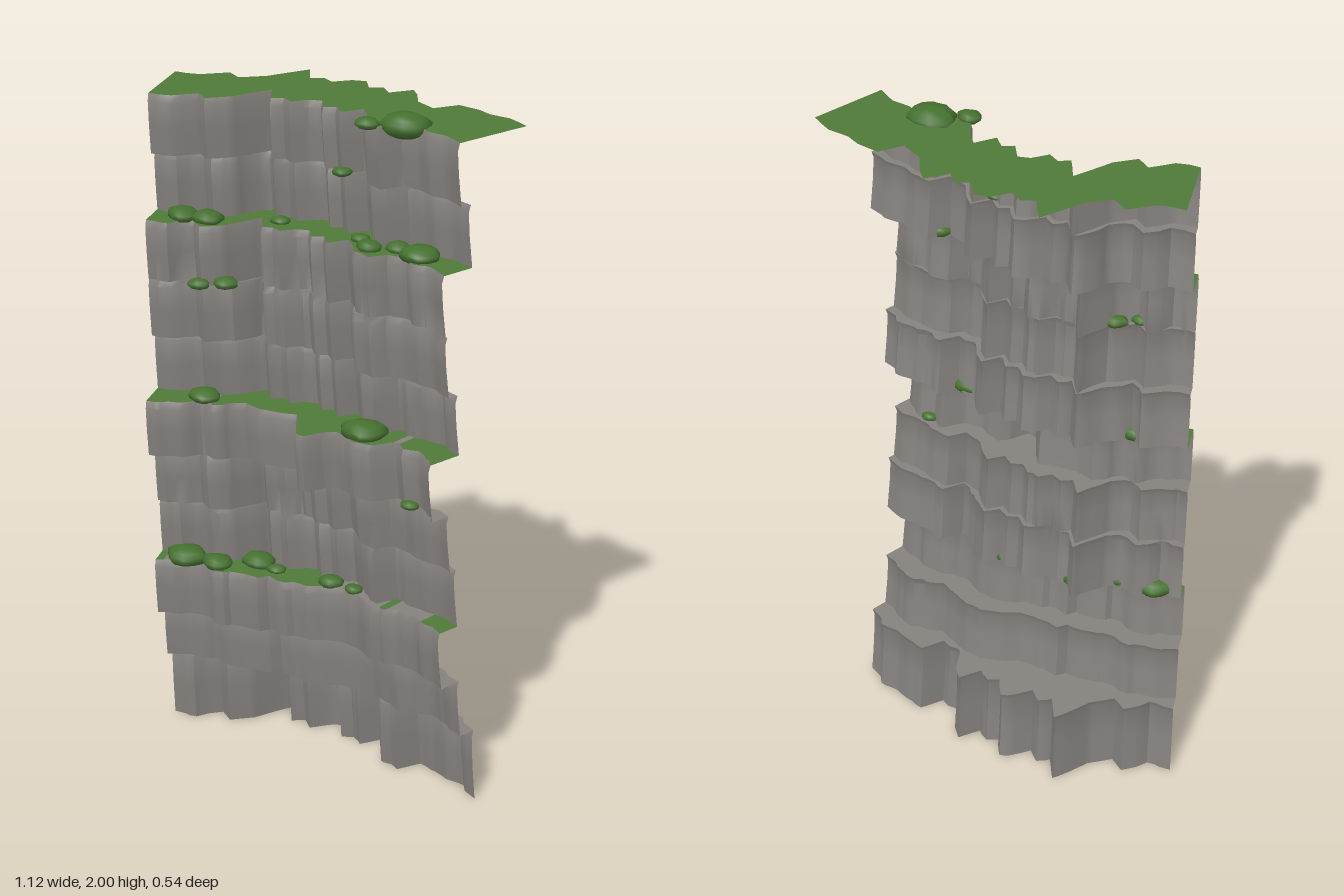
import * as THREE from 'three';
import { toCreasedNormals } from 'three/addons/utils/BufferGeometryUtils.js';

// The cliff is a concave arc: every column runs along a ray x = u * (FOCUS - z)
const FOCUS = 1.8, U = 0.301, TOP = 1.965;
const toRay = ([x, z]) => [x / (FOCUS - z), z];

// Plan outlines [x, z]: deeply notched rim, upper shelf bulging in the middle, lower shelf bulging at one side
const RIM = [[-0.56, -0.06], [-0.52, -0.06], [-0.48, -0.07], [-0.42, -0.13], [-0.37, -0.095], [-0.31, -0.15],
  [-0.245, -0.275], [-0.195, -0.195], [-0.16, -0.215], [-0.12, -0.19], [-0.08, -0.235], [-0.04, -0.245],
  [0, -0.19], [0.035, -0.21], [0.075, -0.17], [0.12, -0.23], [0.155, -0.19], [0.19, -0.13], [0.26, -0.09],
  [0.305, -0.155], [0.375, -0.14], [0.42, -0.115], [0.49, -0.105], [0.56, -0.06]].map(toRay);
const UPPER_SHELF = [[-0.46, 0.27], [-0.43, 0.265], [-0.37, 0.23], [-0.33, 0.19], [-0.28, 0.19], [-0.21, 0.14],
  [-0.15, 0.16], [-0.09, 0.15], [-0.04, 0.14], [-0.01, 0.18], [0.03, 0.255], [0.06, 0.26], [0.09, 0.22],
  [0.12, 0.2], [0.2, 0.225], [0.25, 0.22], [0.3, 0.18], [0.34, 0.21], [0.38, 0.205], [0.44, 0.24],
  [0.46, 0.27]].map(toRay);
const LOWER_SHELF = [[-0.474, 0.225], [-0.43, 0.2], [-0.35, 0.18], [-0.29, 0.19], [-0.25, 0.19], [-0.2, 0.18],
  [-0.15, 0.18], [-0.13, 0.15], [-0.09, 0.16], [-0.01, 0.155], [0.04, 0.125], [0.1, 0.11], [0.15, 0.125],
  [0.2, 0.155], [0.26, 0.18], [0.3, 0.15], [0.4, 0.18], [0.474, 0.225]].map(toRay);

// Rock layers: [top height, foremost z, outline, depth scale]
const LAYERS = [[0.225, 0.09, RIM, 0.95], [0.4, 0.15, LOWER_SHELF, 0.95], [0.575, 0.225, LOWER_SHELF, 1],
  [0.75, 0.17, RIM, 0.68], [0.92, 0.2, RIM, 0.7], [1.09, 0.268, UPPER_SHELF, 1], [1.265, 0.175, RIM, 0.75],
  [1.44, 0.215, RIM, 0.78], [1.615, 0.23, RIM, 0.86], [1.79, 0.14, RIM, 0.82], [TOP, 0.182, RIM, 0.95]];

// Bushes [x, radius] on top of each numbered layer
const BUSHES = {
  2: [[-0.4, 0.065], [-0.3, 0.05], [-0.2, 0.055], [-0.13, 0.03], [0.05, 0.04], [0.13, 0.03]],
  4: [[0.36, 0.03]],
  5: [[-0.33, 0.05], [0.2, 0.07], [0.14, 0.03]],
  7: [[-0.32, 0.035], [-0.26, 0.04]],
  8: [[-0.4, 0.05], [-0.32, 0.05], [-0.14, 0.03], [0.13, 0.03], [0.19, 0.04], [0.265, 0.04], [0.35, 0.06]],
  9: [[0.065, 0.03]],
};

const clamp01 = (v) => THREE.MathUtils.clamp(v, 0, 1);

function sample(line, u) {
  let i = 1;
  while (i < line.length - 1 && line[i][0] < u) i++;
  const [a, b] = [line[i - 1], line[i]];
  return THREE.MathUtils.lerp(a[1], b[1], clamp01((u - a[0]) / (b[0] - a[0])));
}

function hash(a, b) {
  const s = Math.sin(a * 127.1 + b * 311.7 + 5.3) * 43758.5453;
  return s - Math.floor(s);
}

// Blocky per-layer variation, flat across a column and steep between columns
function blocks(u, layer) {
  const c = ((u + U) / (2 * U)) * 20, i = Math.floor(c);
  const f = clamp01((c - i - 0.7) / 0.3);
  const fade = clamp01((U - Math.abs(u)) / 0.05);
  return (THREE.MathUtils.lerp(hash(i, layer), hash(i + 1, layer), f) - 0.5) * 0.022 * fade;
}

// Depth of a layer's front along a ray
function depth(u, k) {
  const [, front, outline, scale] = LAYERS[k];
  const shape = (sample(outline, u) - outline[0][1]) * scale;
  return front + shape + (k === 10 ? 0 : blocks(u, k));
}

const point = (u, y, z) => [u * (FOCUS - z), y, z];

function surface(quads) {
  const pos = [];
  for (const [a, b, c, d] of quads) pos.push(...a, ...b, ...c, ...a, ...c, ...d);
  const geo = new THREE.BufferGeometry();
  geo.setAttribute('position', new THREE.Float32BufferAttribute(pos, 3));
  geo.computeVertexNormals();
  return toCreasedNormals(geo, 0.7);
}

// Rounded, slightly lumpy bush
function bushGeometry(seed) {
  const geo = new THREE.SphereGeometry(1, 10, 7);
  const p = geo.attributes.position, v = new THREE.Vector3();
  for (let i = 0; i < p.count; i++) {
    v.fromBufferAttribute(p, i);
    const lump = 0.95 + 0.12 * Math.sin(v.x * 3 + seed) * Math.cos(v.z * 4 + seed * 2);
    p.setXYZ(i, v.x * lump, v.y, v.z * lump);
  }
  geo.computeVertexNormals();
  return geo;
}

export function createModel() {
  const model = new THREE.Group();
  model.name = 'cliff';
  const rock = new THREE.MeshStandardMaterial({ color: 0x85827e, side: THREE.DoubleSide });
  const grass = new THREE.MeshStandardMaterial({ color: 0x4f7a38, side: THREE.DoubleSide });
  const leaves = new THREE.MeshStandardMaterial({ color: 0x44702e });

  const add = (name, geo, mat) => {
    const mesh = new THREE.Mesh(geo, mat);
    mesh.name = name;
    model.add(mesh);
    return mesh;
  };

  // Column rays: outline corners plus an even spread
  const even = Array.from({ length: 41 }, (_, i) => -U + (2 * U * i) / 40);
  const rays = [...RIM, ...UPPER_SHELF, ...LOWER_SHELF].map((p) => p[0]).concat(even)
    .filter((u) => Math.abs(u) <= U).sort((a, b) => a - b)
    .filter((u, i, all) => i === 0 || u - all[i - 1] > 0.0015);

  // Each layer leans forward a little and ends in a soft bevel
  const rows = [];
  LAYERS.forEach(([y1], k) => {
    const y0 = k ? LAYERS[k - 1][0] : 0;
    const steps = [[y0, -0.016], [(y0 + y1) / 2, -0.005], [y1 - 0.02, 0], [y1, -0.007]];
    for (const [y, dz] of steps) rows.push(rays.map((u) => point(u, y, depth(u, k) + dz)));
  });
  const backEdge = rays.map((u) => point(u, TOP, sample(RIM, u)));

  // Walls and shallow steps are rock, deep steps are grassy
  const rockQuads = [], grassQuads = [], topQuads = [];
  for (let r = 0; r < rows.length; r++) {
    const low = rows[r], high = rows[r + 1] ?? backEdge;
    for (let i = 0; i < rays.length - 1; i++) {
      const quad = [low[i], low[i + 1], high[i + 1], high[i]];
      const step = (low[i][2] + low[i + 1][2] - high[i][2] - high[i + 1][2]) / 2;
      if (high === backEdge) topQuads.push(quad);
      else if (r % 4 === 3 && step > 0.06) grassQuads.push(quad);
      else rockQuads.push(quad);
    }
  }
  add('rockWall', surface(rockQuads), rock);
  add('grassLedges', surface(grassQuads), grass);
  add('grassTop', surface(topQuads), grass);

  // Bushes resting on the ledges against the wall behind, and on the top
  let count = 0;
  const addBush = (x, y, z, r) => {
    const bush = add('bush', bushGeometry(++count * 1.7), leaves);
    bush.position.set(x, y, z);
    bush.scale.set(r, r * 0.45, r * 0.85);
  };
  for (const [key, list] of Object.entries(BUSHES)) {
    const k = Number(key);
    for (const [x, r] of list) {
      const u = x / 1.63;
      addBush(x, LAYERS[k][0] + r * 0.2, THREE.MathUtils.lerp(depth(u, k), depth(u, k + 1), 0.62), r);
    }
  }
  addBush(0.28, 1.965, 0.095, 0.078);
  addBush(0.19, 1.968, 0.14, 0.038);
  return model;
}
